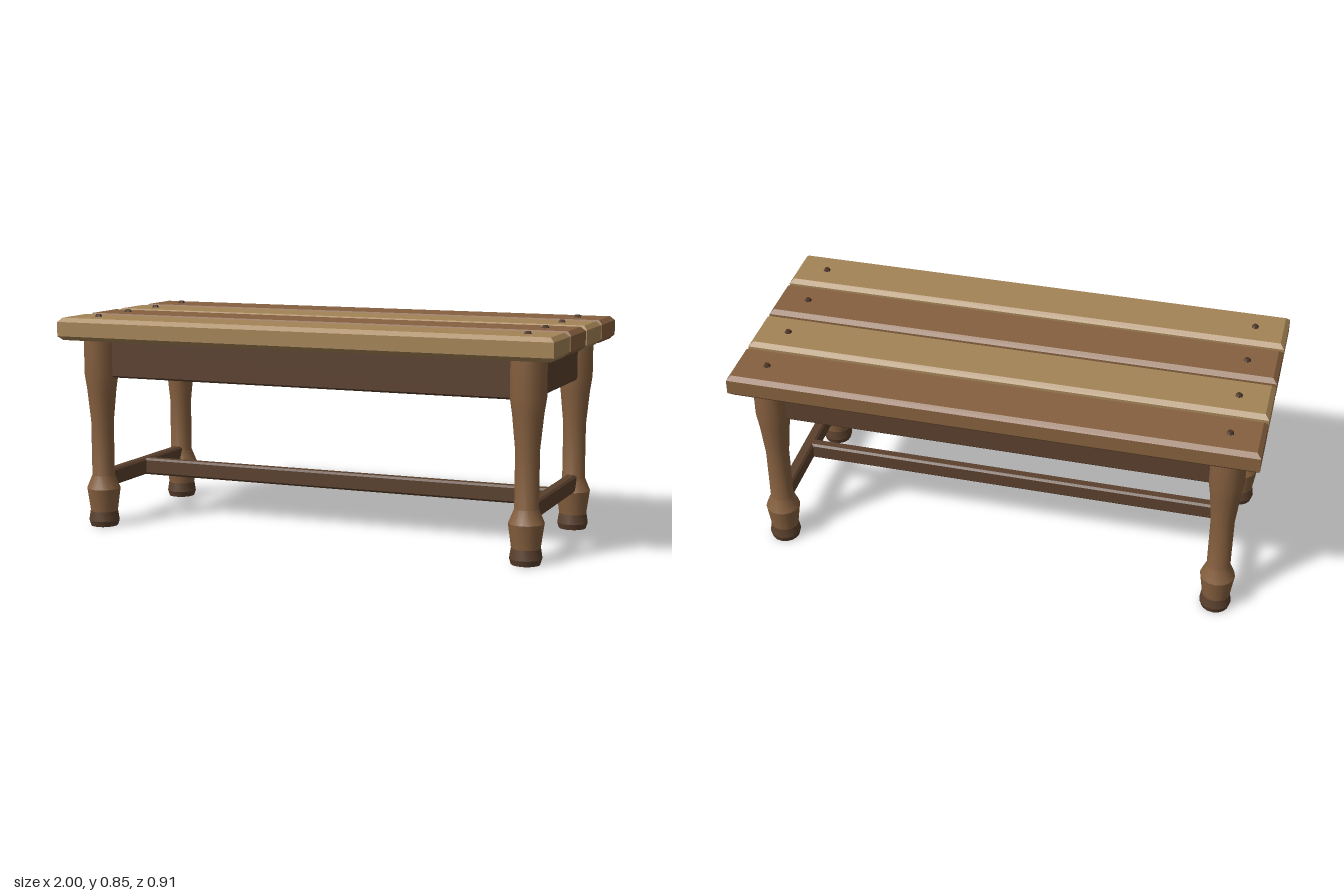
import * as THREE from 'three';
import { toCreasedNormals } from 'three/addons/utils/BufferGeometryUtils.js';

const paint = (name, color) => {
  const m = new THREE.MeshStandardMaterial({ color });
  m.name = name;
  return m;
};

// Box with chamfered top and bottom edges, centred on the origin
function chamferedBox(w, h, d, c) {
  const x = w / 2 - c, z = d / 2 - c;
  const shape = new THREE.Shape([
    new THREE.Vector2(-x, -z), new THREE.Vector2(x, -z),
    new THREE.Vector2(x, z), new THREE.Vector2(-x, z),
  ]);
  const geo = new THREE.ExtrudeGeometry(shape, {
    depth: h - 2 * c, bevelEnabled: true, bevelSegments: 1, bevelSize: c, bevelThickness: c,
  });
  return geo.translate(0, 0, c - h / 2).rotateX(-Math.PI / 2);
}

// Turned part from [radius, height] pairs, with crisp rings
function turned(points, sides = 16) {
  const geo = new THREE.LatheGeometry(points.map(([r, y]) => new THREE.Vector2(r, y)), sides);
  return toCreasedNormals(geo, 0.42);
}

export function createModel() {
  const lightWood = paint('lightWood', 0xa48456);
  const warmWood = paint('warmWood', 0x86603f);
  const darkWood = paint('darkWood', 0x5a402d);
  const boltMetal = paint('boltMetal', 0x4a3325);

  const model = new THREE.Group();
  model.name = 'table';
  const add = (name, geo, mat, x, y, z) => {
    const mesh = new THREE.Mesh(geo, mat);
    mesh.name = name;
    mesh.position.set(x, y, z);
    model.add(mesh);
  };

  const legX = 0.877, legZ = 0.333;

  // Tabletop planks in alternating woods, each with two bolts
  const plankGeo = chamferedBox(2, 0.088, 0.213, 0.016);
  const boltGeo = new THREE.CylinderGeometry(0.009, 0.016, 0.012, 6).toNonIndexed();
  boltGeo.computeVertexNormals();
  [0.349, 0.116, -0.116, -0.349].forEach((z, i) => {
    add('plank', plankGeo, i % 2 ? warmWood : lightWood, 0, 0.796, z);
    for (const s of [-1, 1]) add('bolt', boltGeo, boltMetal, s * 0.875, 0.844, z);
  });

  // Turned legs with dark feet
  const legGeo = turned([
    [0.054, 0.06], [0.067, 0.152], [0.045, 0.205], [0.045, 0.42],
    [0.058, 0.55], [0.067, 0.61], [0.067, 0.755], [0, 0.755],
  ]);
  const footGeo = turned([[0, 0], [0.054, 0], [0.061, 0.022], [0.055, 0.06], [0, 0.06]]);
  for (const sx of [-1, 1]) {
    for (const sz of [-1, 1]) {
      add('leg', legGeo, warmWood, sx * legX, 0, sz * legZ);
      add('foot', footGeo, darkWood, sx * legX, 0, sz * legZ);
    }
  }

  // Aprons under the top
  const longApron = chamferedBox(1.7, 0.155, 0.045, 0.007);
  const endApron = chamferedBox(0.045, 0.155, 0.6, 0.007);
  for (const s of [-1, 1]) {
    add('longApron', longApron, darkWood, 0, 0.679, s * legZ);
    add('endApron', endApron, darkWood, s * legX, 0.679, 0);
  }

  // H-shaped stretcher
  const endStretcher = chamferedBox(0.045, 0.068, 0.62, 0.008);
  for (const s of [-1, 1]) add('endStretcher', endStretcher, darkWood, s * legX, 0.187, 0);
  add('longStretcher', chamferedBox(1.74, 0.068, 0.045, 0.008), darkWood, 0, 0.187, 0);

  return model;
}
